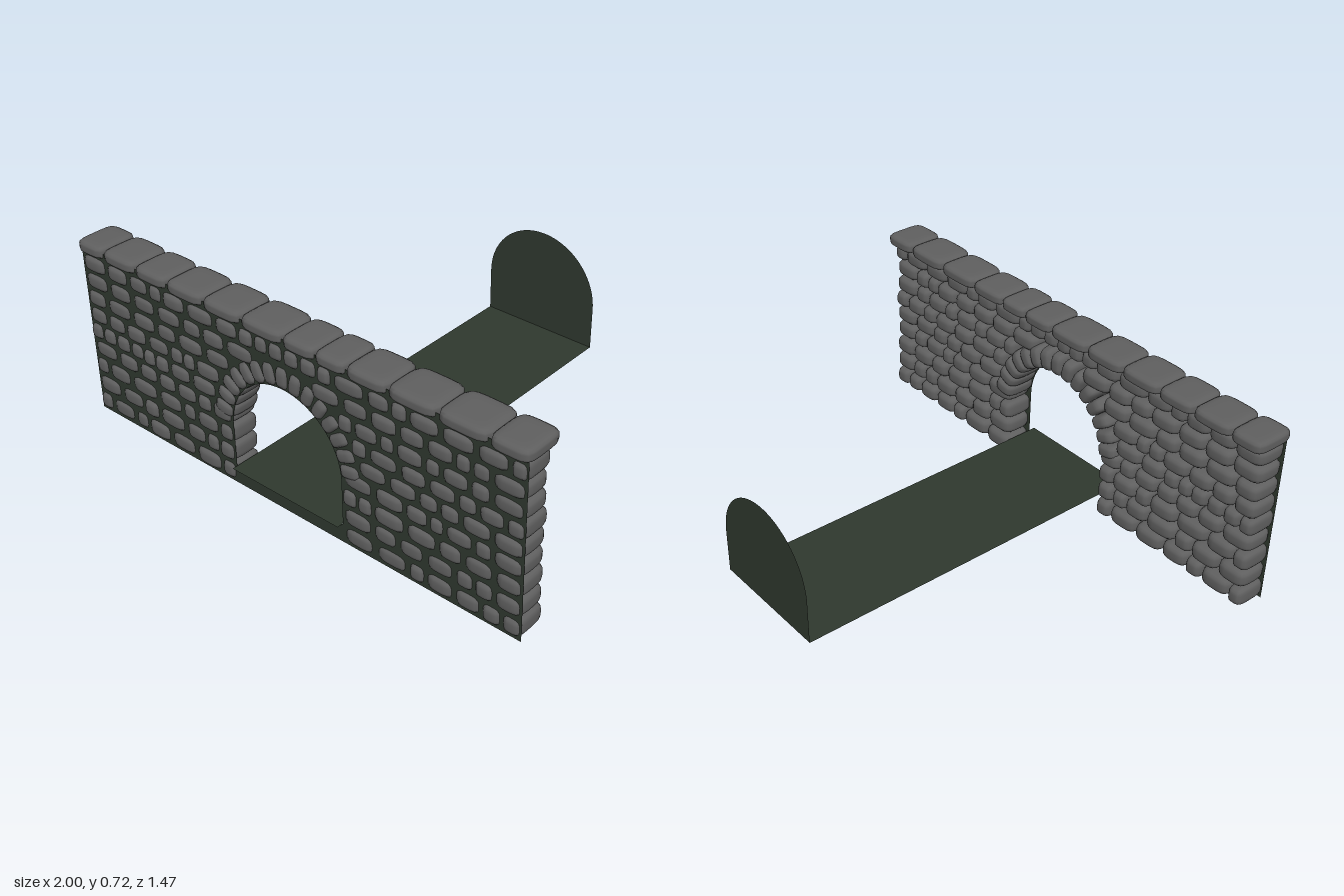
import * as THREE from 'three';
import { mergeGeometries } from 'three/addons/utils/BufferGeometryUtils.js';

const WALL_Z = 0.652, MORTAR_Z = 0.706, REAR_Z = -0.735, FRONT_Z = 0.73;
const FLOOR_Y = 0.075, ARCH_R = 0.25, ARCH_Y = 0.25;

// small seeded generator for the masonry variation
let seed = 17;
function rand(a, b) {
  seed = (seed * 16807) % 2147483647;
  return a + (b - a) * (seed / 2147483647);
}

// pillow-shaped block: a box pushed onto a superellipsoid, with smooth normals
function pillow(w, h, d, p = 3.7) {
  const g = new THREE.BoxGeometry(2, 2, 2, 6, 6, 6);
  const pos = g.attributes.position, nor = g.attributes.normal;
  const v = new THREE.Vector3(), n = new THREE.Vector3();
  const slope = (c) => Math.sign(c) * Math.abs(c) ** (p - 1);
  for (let i = 0; i < pos.count; i++) {
    v.fromBufferAttribute(pos, i);
    v.divideScalar((Math.abs(v.x) ** p + Math.abs(v.y) ** p + Math.abs(v.z) ** p) ** (1 / p));
    n.set(slope(v.x) / w, slope(v.y) / h, slope(v.z) / d).normalize();
    pos.setXYZ(i, v.x * w / 2, v.y * h / 2, v.z * d / 2);
    nor.setXYZ(i, n.x, n.y, n.z);
  }
  return g;
}

// arch-topped doorway outline
function archOutline(path, r) {
  path.moveTo(-r, FLOOR_Y);
  path.lineTo(r, FLOOR_Y);
  path.lineTo(r, ARCH_Y);
  path.absarc(0, ARCH_Y, r, 0, Math.PI, false);
  path.lineTo(-r, FLOOR_Y);
  return path;
}

// one run of stones of mixed length between two x positions
function course(x0, x1, y, h) {
  const widths = [];
  let total = 0;
  while (total < x1 - x0 - 0.04) {
    const w = rand(0, 1) < 0.35 ? rand(0.062, 0.08) : rand(0.1, 0.145);
    widths.push(w);
    total += w;
  }
  const fit = (x1 - x0) / total;
  let x = x0;
  return widths.map((w) => {
    const s = w * fit;
    const g = pillow(s - 0.003, h, rand(0.13, 0.137));
    g.rotateZ(rand(-0.015, 0.015));
    g.translate(x + s / 2, y, WALL_Z + rand(-0.002, 0.002));
    x += s;
    return g;
  });
}

export function createModel() {
  const model = new THREE.Group();
  const stone = new THREE.MeshStandardMaterial({ color: 0x5f5f5f });
  stone.name = 'grey stone';
  const green = new THREE.MeshStandardMaterial({ color: 0x2f382e, side: THREE.DoubleSide });
  green.name = 'dark green';

  const add = (name, geometry, material) => {
    const mesh = new THREE.Mesh(geometry, material);
    mesh.name = name;
    model.add(mesh);
    return mesh;
  };

  // wall courses, broken around the arch
  const rows = [0.043, 0.122, 0.2, 0.277, 0.35, 0.42, 0.492, 0.565, 0.637];
  const gap = [0.255, 0.255, 0.255, 0.255, 0.325, 0.3, 0.245, 0.125, 0];
  const stones = [];
  rows.forEach((y, i) => {
    const h = i < 3 ? 0.073 : 0.069;
    if (gap[i] === 0) stones.push(...course(-0.99, 0.99, y, h));
    else stones.push(...course(-0.99, -gap[i], y, h), ...course(gap[i], 0.99, y, h));
  });
  add('wallStones', mergeGeometries(stones), stone);

  // ring of arch stones
  const ring = [];
  for (let i = -7; i <= 7; i++) {
    const g = pillow(0.058, 0.095, 0.142);
    g.translate(0, ARCH_R + 0.046, WALL_Z - 0.003);
    g.rotateZ(i * 0.197);
    g.translate(0, ARCH_Y, 0);
    ring.push(g);
  }
  add('archStones', mergeGeometries(ring), stone);

  // coping stones along the top
  const joints = [-1, -0.865, -0.695, -0.535, -0.355, -0.175, 0.017, 0.16, 0.29, 0.46, 0.655, 0.85, 1];
  const caps = [];
  for (let i = 0; i < joints.length - 1; i++) {
    const g = pillow(joints[i + 1] - joints[i], 0.048, 0.172, 5);
    g.translate((joints[i] + joints[i + 1]) / 2, 0.699, 0.639);
    caps.push(g);
  }
  add('copingStones', mergeGeometries(caps), stone);

  // mortar sheet with the doorway cut out
  const sheet = new THREE.Shape();
  sheet.moveTo(-0.99, 0);
  sheet.lineTo(0.99, 0);
  sheet.lineTo(0.99, 0.7);
  sheet.lineTo(-0.99, 0.7);
  sheet.holes.push(archOutline(new THREE.Path(), ARCH_R + 0.002));
  add('mortarSheet', new THREE.ShapeGeometry(sheet, 24), green).position.z = MORTAR_Z;

  // passage floor and rear panel
  const floor = new THREE.PlaneGeometry(ARCH_R * 2, FRONT_Z - REAR_Z).rotateX(-Math.PI / 2);
  add('passageFloor', floor, green).position.set(0, FLOOR_Y, (FRONT_Z + REAR_Z) / 2);
  const panel = new THREE.ShapeGeometry(archOutline(new THREE.Shape(), ARCH_R), 24);
  add('rearPanel', panel, green).position.z = REAR_Z;

  return model;
}
